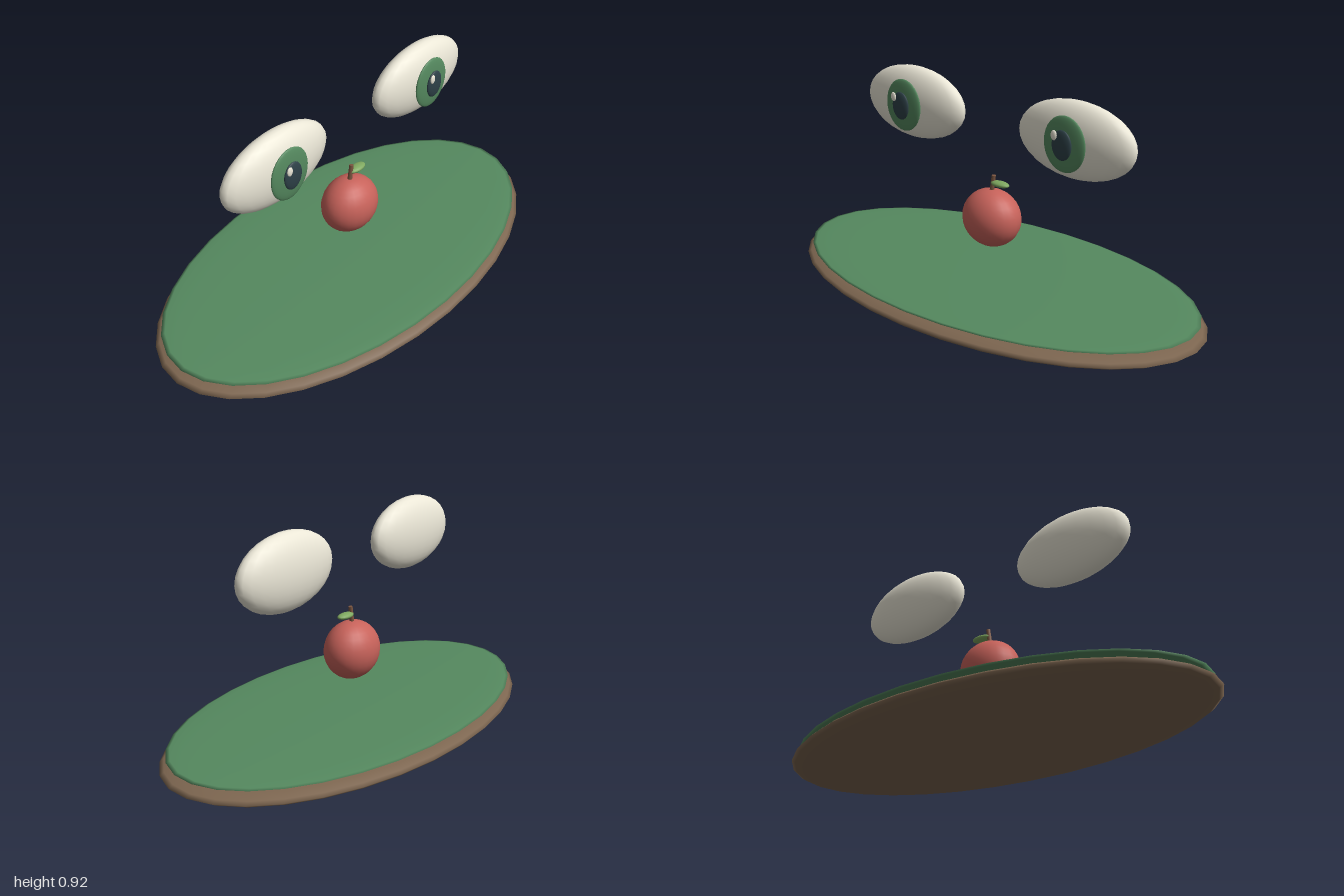
import * as THREE from 'three';

const mat = (color) => new THREE.MeshStandardMaterial({ color });
const brown = mat(0x7d6650), green = mat(0x55895f), red = mat(0xc7625a);
const cream = mat(0xeae6d6), dark = mat(0x2e4148), leafGreen = mat(0x7fa860);
const stemBrown = mat(0x7a5540);

// Smooth ellipsoid with given centre and radii
function ellipsoid(name, material, [x, y, z], [rx, ry, rz], w = 24, h = 16) {
  const geometry = new THREE.SphereGeometry(1, w, h);
  geometry.scale(rx, ry, rz);
  const mesh = new THREE.Mesh(geometry, material);
  mesh.name = name;
  mesh.position.set(x, y, z);
  return mesh;
}

// Eyeball with iris, pupil and highlight stacked on its front
function makeEye(name, x) {
  const eye = new THREE.Group();
  eye.name = name;
  eye.position.set(x, 0.767, 0);
  eye.add(
    ellipsoid('eyeball', cream, [0, 0, 0], [0.275, 0.156, 0.077]),
    ellipsoid('iris', green, [0, 0, 0.076], [0.098, 0.112, 0.016]),
    ellipsoid('pupil', dark, [0, 0, 0.094], [0.046, 0.06, 0.012]),
    ellipsoid('highlight', cream, [-0.028, 0.038, 0.107], [0.014, 0.02, 0.006], 16, 12),
  );
  return eye;
}

export function createModel() {
  const model = new THREE.Group();
  model.name = 'faceOnPlate';

  // Oval base with its green top
  model.add(
    ellipsoid('base', brown, [0, 0.058, 0], [1, 0.058, 0.546], 32, 16),
    ellipsoid('baseTop', green, [0, 0.104, 0], [0.972, 0.017, 0.525], 32, 16),
  );

  // Eyes; both highlights sit on the same side
  model.add(makeEye('leftEye', 0.425), makeEye('rightEye', -0.425));

  // Apple with stem and leaf
  const apple = new THREE.Group();
  apple.name = 'apple';
  const stem = new THREE.Mesh(new THREE.CylinderGeometry(0.009, 0.01, 0.08, 10), stemBrown);
  stem.name = 'stem';
  stem.position.set(0.005, 0.492, 0);
  stem.rotation.z = -0.15;
  const leaf = ellipsoid('leaf', leafGreen, [0.045, 0.5, 0], [0.046, 0.013, 0.024], 16, 12);
  apple.add(ellipsoid('fruit', red, [0, 0.345, 0], [0.134, 0.124, 0.109]), stem, leaf);
  model.add(apple);

  return model;
}
